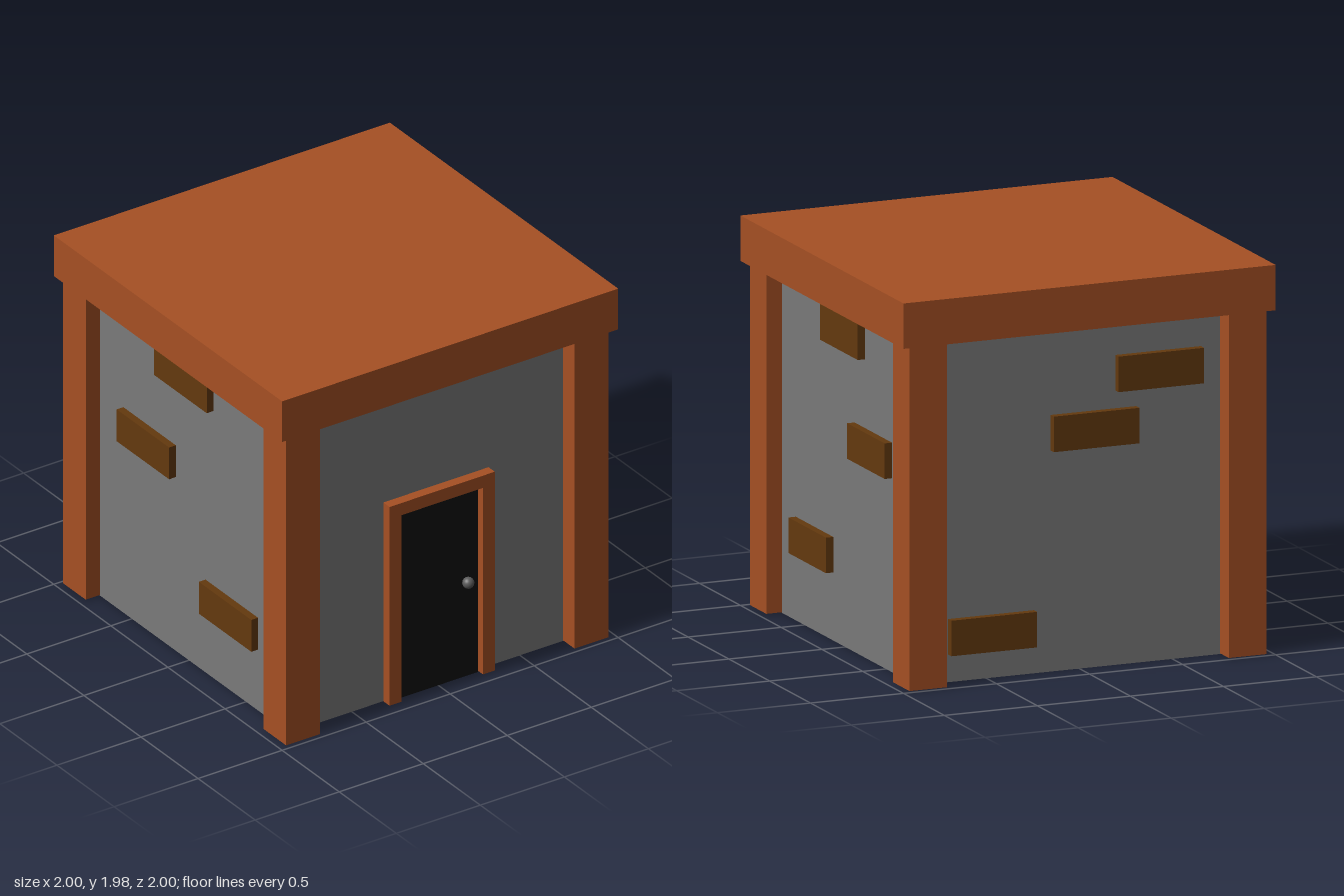
import * as THREE from 'three';

const paint = (color) => new THREE.MeshStandardMaterial({ color });

export function createModel() {
  const house = new THREE.Group();
  house.name = 'hut';
  const timber = paint(0xa65024);
  const stone = paint(0x7a7a7a);
  const brickBrown = paint(0x64390e);
  const doorBlack = paint(0x0e0e0e);
  const knobGrey = paint(0x5a5a5a);

  // box given by its minimum and maximum corners
  const box = (name, material, min, max, parent = house) => {
    const size = max.map((v, i) => v - min[i]);
    const mesh = new THREE.Mesh(new THREE.BoxGeometry(...size), material);
    mesh.position.set(...max.map((v, i) => (v + min[i]) / 2));
    mesh.name = name;
    parent.add(mesh);
    return mesh;
  };

  // walls and flat roof
  const W = 0.875;
  box('walls', stone, [-W, 0, -W], [W, 1.75, W]);
  box('roof', timber, [-1, 1.745, -1], [1, 1.975, 1]);

  // corner posts, raised a hair so the floor stays on top underneath
  for (const x of [-0.858, 0.858]) {
    for (const z of [-0.88, 0.875]) {
      box('cornerPost', timber, [x - 0.101, 0.003, z - 0.1], [x + 0.101, 1.75, z + 0.1]);
    }
  }

  // protruding bricks: [centre along the wall, centre height]
  const L = 0.23, H = 0.09, OUT = 0.915, IN = 0.85;
  const sideBricks = [[0.375, 0.435], [-0.345, 1.073], [-0.015, 1.602]];
  const backBricks = [[0.475, 0.23], [-0.075, 1.21], [-0.423, 1.48]];
  for (const [z, y] of sideBricks) {
    box('rightBrick', brickBrown, [IN, y - H, z - L], [OUT, y + H, z + L]);
    box('leftBrick', brickBrown, [-OUT, y - H, z - L], [-IN, y + H, z + L]);
  }
  for (const [x, y] of backBricks) {
    box('backBrick', brickBrown, [x - L, y - H, -OUT], [x + L, y + H, -IN]);
  }

  // doorway: frame, door leaf and knob
  const doorway = new THREE.Group();
  doorway.name = 'doorway';
  house.add(doorway);
  const frame = new THREE.Shape();
  [[-0.313, 0], [-0.313, 1.125], [0.313, 1.125], [0.313, 0], [0.243, 0], [0.243, 1.056], [-0.243, 1.056], [-0.243, 0]]
    .forEach(([x, y], i) => (i ? frame.lineTo(x, y) : frame.moveTo(x, y)));
  const frameMesh = new THREE.Mesh(
    new THREE.ExtrudeGeometry(frame, { depth: 0.075, bevelEnabled: false }), timber);
  frameMesh.position.z = 0.855;
  frameMesh.name = 'doorFrame';
  doorway.add(frameMesh);

  box('door', doorBlack, [-0.234, 0.003, 0.86], [0.234, 1.048, 0.9], doorway);

  const knob = new THREE.Mesh(new THREE.SphereGeometry(0.03, 24, 16), knobGrey);
  knob.position.set(0.162, 0.54, 0.92);
  knob.name = 'doorKnob';
  doorway.add(knob);

  return house;
}
